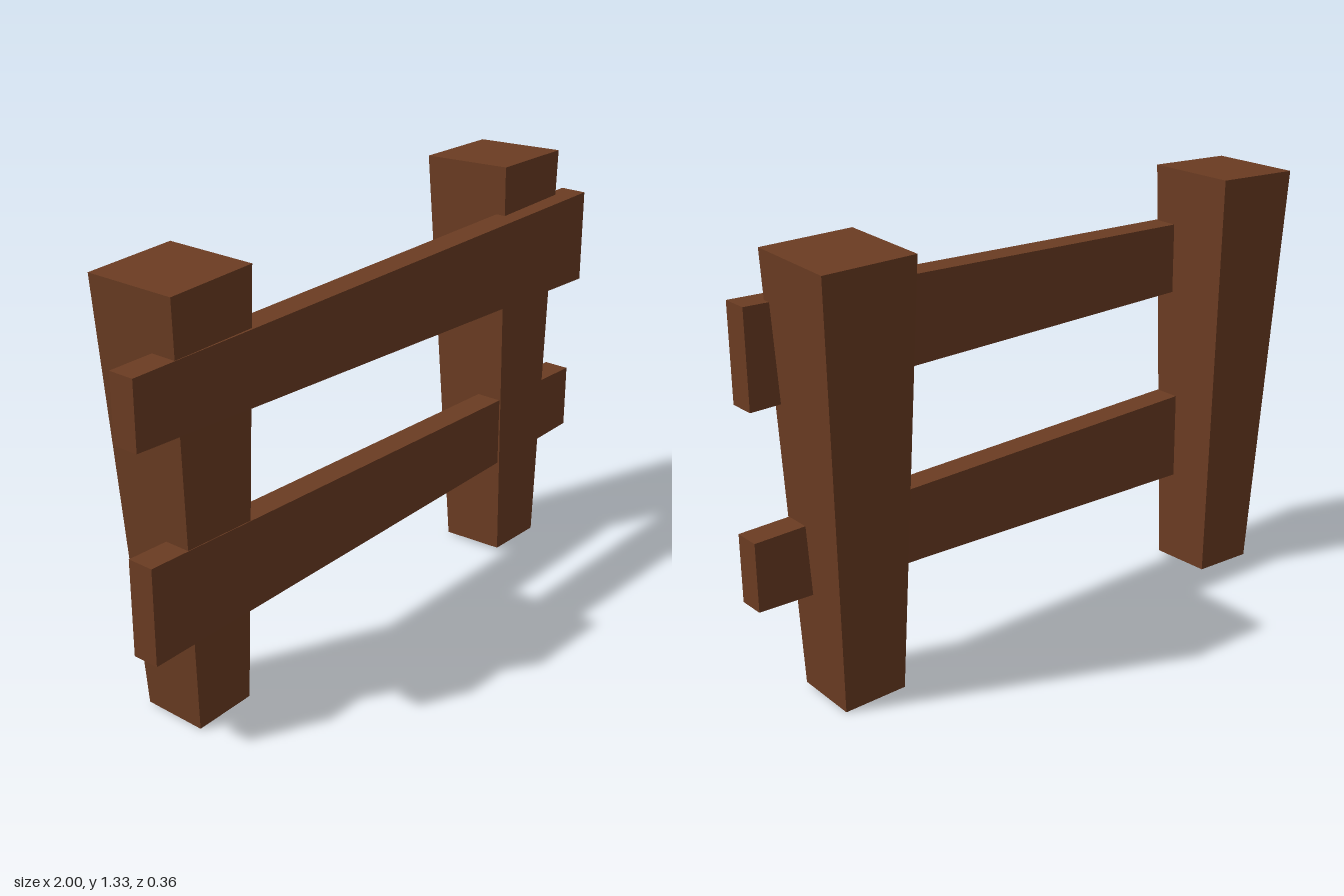
import * as THREE from 'three';

const wood = new THREE.MeshStandardMaterial({ color: 0x6b3c22, flatShading: true });

// Box whose unit corners (u, v, w in 0..1) are moved by a rule to x, y, z
function taperedBox(name, rule) {
  const geo = new THREE.BoxGeometry(1, 1, 1);
  const p = geo.attributes.position;
  for (let i = 0; i < p.count; i++) {
    p.setXYZ(i, ...rule(p.getX(i) + 0.5, p.getY(i) + 0.5, p.getZ(i) + 0.5));
  }
  geo.computeVertexNormals();
  const mesh = new THREE.Mesh(geo, wood);
  mesh.name = name;
  return mesh;
}

const mix = THREE.MathUtils.lerp;

// Post between two sections { x: [min, max], z: [min, max], y, dx, dz }, where
// dx and dz are the rise of the slanted cut along x and z
function post(name, bottom, top) {
  const at = (s, u, w) => [mix(...s.x, u), s.y + s.dx * u + s.dz * w, mix(...s.z, w)];
  return taperedBox(name, (u, v, w) => {
    const a = at(bottom, u, w), b = at(top, u, w);
    return a.map((c, i) => mix(c, b[i], v));
  });
}

// Rail between two end sections { x, y: [min, max], z: [min, max] }
function rail(name, start, end) {
  const at = (s, v, w) => [s.x, mix(...s.y, v), mix(...s.z, w)];
  return taperedBox(name, (u, v, w) => {
    const a = at(start, v, w), b = at(end, v, w);
    return a.map((c, i) => mix(c, b[i], u));
  });
}

export function createModel() {
  const fence = new THREE.Group();
  fence.name = 'fence';

  // Posts, wider at the top
  fence.add(
    post('rightPost',
      { x: [-0.78, -0.58], z: [-0.107, 0.095], y: 0.006, dx: 0.007, dz: -0.004 },
      { x: [-0.87, -0.58], z: [-0.145, 0.15], y: 1.313, dx: 0.012, dz: 0 }),
    post('leftPost',
      { x: [0.603, 0.805], z: [-0.073, 0.13], y: 0.005, dx: -0.005, dz: 0.008 },
      { x: [0.588, 0.88], z: [-0.178, 0.117], y: 1.314, dx: -0.004, dz: 0.012 })
  );

  // Uneven rails along the front of the posts
  fence.add(
    rail('upperRail',
      { x: -1, y: [0.94, 1.14], z: [0.06, 0.142] },
      { x: 0.95, y: [0.888, 1.18], z: [0.094, 0.178] }),
    rail('lowerRail',
      { x: -0.955, y: [0.3, 0.593], z: [0.038, 0.122] },
      { x: 0.996, y: [0.336, 0.542], z: [0.037, 0.12] })
  );
  return fence;
}
